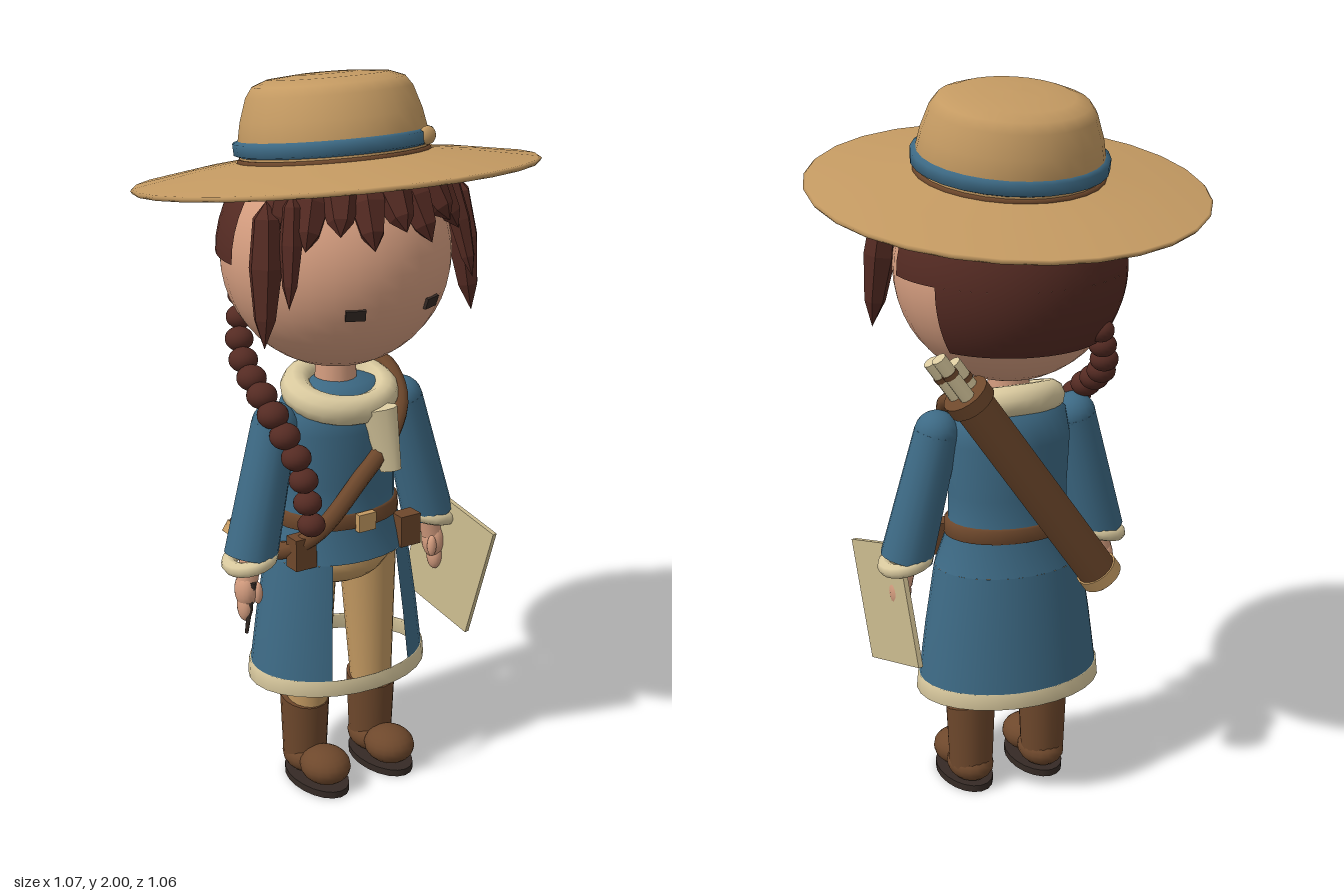
import * as THREE from 'three';

const mat = (name, color, side = THREE.FrontSide) => {
  const m = new THREE.MeshStandardMaterial({ color, side });
  m.name = name;
  return m;
};
const V = (x, y, z) => new THREE.Vector3(x, y, z);

export function createModel() {
  const root = new THREE.Group();
  root.name = 'traveller';
  const straw = mat('straw', 0xc49a62), blue = mat('blueCloth', 0x3d6a85),
    leather = mat('leather', 0x6e482c), hairM = mat('hair', 0x552b23),
    skin = mat('skin', 0xd69e80), cream = mat('creamFur', 0xdaca9f),
    paper = mat('paper', 0xcdbd90), dark = mat('dark', 0x352a25);

  const add = (name, geo, m, pos = [0, 0, 0], scale = [1, 1, 1], parent = root) => {
    const mesh = new THREE.Mesh(geo, m);
    mesh.name = name;
    mesh.position.set(...pos);
    mesh.scale.set(...scale);
    parent.add(mesh);
    return mesh;
  };
  const lathe = (pts, seg = 28, start = 0, len = Math.PI * 2) =>
    new THREE.LatheGeometry(pts.map(p => new THREE.Vector2(...p)), seg, start, len);
  const ball = (name, m, pos, scale, parent) =>
    add(name, new THREE.SphereGeometry(1, 18, 12), m, pos, scale, parent);
  // Tapered cylinder running from point a to point b
  const limb = (name, m, a, b, ra, rb, seg = 16) => {
    const d = b.clone().sub(a);
    const mesh = add(name, new THREE.CylinderGeometry(rb, ra, d.length(), seg), m);
    mesh.position.copy(a).addScaledVector(d, 0.5);
    mesh.quaternion.setFromUnitVectors(V(0, 1, 0), d.normalize());
    return mesh;
  };
  // Pointed lock of hair from a down to b
  const lock = (name, a, b, r) => {
    const d = b.clone().sub(a), L = d.length();
    const geo = lathe([[0, 0], [r * 0.8, L * 0.12], [r, L * 0.45], [r * 0.65, L * 0.8], [0, L]], 6)
      .toNonIndexed();
    geo.computeVertexNormals();
    const mesh = add(name, geo, hairM);
    mesh.position.copy(a);
    mesh.quaternion.setFromUnitVectors(V(0, 1, 0), d.normalize());
  };

  // Hat, tipped back
  const hat = new THREE.Group();
  hat.name = 'hat';
  hat.position.y = 1.733;
  hat.rotation.x = -0.146;
  root.add(hat);
  add('brim', lathe([[0.22, 0.03], [0.38, 0.013], [0.53, -0.008], [0.536, 0], [0.53, 0.005],
    [0.38, 0.03], [0.22, 0.05]]), straw, [0, 0, 0], [1, 1, 1], hat);
  add('crown', lathe([[0.246, 0.035], [0.248, 0.1], [0.238, 0.15], [0.218, 0.21], [0.2, 0.235],
    [0.16, 0.25], [0.08, 0.257], [0, 0.259]]), straw, [0, 0, 0], [1, 1, 1], hat);
  add('hatBand', lathe([[0.246, 0.06], [0.261, 0.066], [0.262, 0.096], [0.246, 0.102]]),
    blue, [0, 0, 0], [1, 1, 1], hat);
  const cord = add('hatCord', new THREE.TorusGeometry(0.245, 0.01, 6, 28), leather, [0, 0.046, 0], [1, 1, 1], hat);
  cord.rotation.x = Math.PI / 2;
  ball('hatButton', straw, [0.145, 0.085, 0.22], [0.024, 0.024, 0.014], hat);

  // Head, eyes, neck
  add('head', new THREE.SphereGeometry(0.308, 32, 24), skin, [0, 1.525, 0]);
  add('neck', new THREE.CylinderGeometry(0.055, 0.06, 0.15, 16), skin, [0, 1.18, 0]);
  for (const s of [-1, 1]) {
    const eye = add('eye', new THREE.BoxGeometry(0.052, 0.03, 0.008), dark, [s * 0.117, 1.43, 0.271]);
    eye.rotation.set(0.3, s * 0.4, 0, 'YXZ');
  }

  // Hair shells on the back of the head
  add('hairTop', new THREE.SphereGeometry(0.318, 24, 12, Math.PI, Math.PI, 0, Math.PI / 2), hairM, [0, 1.53, 0]);
  add('hairBack', new THREE.SphereGeometry(0.318, 18, 8, Math.PI * 7 / 6, Math.PI * 2 / 3,
    Math.PI / 2, Math.PI * 0.2), hairM, [0, 1.53, 0]);
  // Fringe and side locks
  for (let i = -4; i <= 4; i++) {
    const a = i * 0.27, drop = i % 2 ? 1.6 : 1.64;
    lock('fringe', V(Math.sin(a) * 0.21, 1.79, Math.cos(a) * 0.21),
      V(Math.sin(a) * 0.325, drop, Math.cos(a) * 0.325), 0.05);
  }
  for (const s of [-1, 1]) {
    lock('sideLock', V(s * 0.29, 1.72, 0.13), V(s * 0.325, 1.35, 0.17), 0.045);
    lock('templeLock', V(s * 0.24, 1.74, 0.17), V(s * 0.285, 1.46, 0.225), 0.03);
  }
  // Braid over the right shoulder
  const braid = new THREE.CatmullRomCurve3([V(-0.17, 1.38, -0.21), V(-0.225, 1.25, -0.12),
    V(-0.235, 1.13, 0.05), V(-0.2, 1.0, 0.13), V(-0.175, 0.83, 0.15)]);
  for (let i = 0; i < 12; i++) {
    const r = 0.043 - Math.abs(i - 6) * 0.001;
    ball('braidKnot', hairM, braid.getPointAt(i / 11).toArray(), [r, r * 0.85, r]);
  }

  // Coat body, open skirt and hem
  const flat = [1, 1, 0.76], at = [0, 0, 0.005];
  add('coatBody', lathe([[0.212, 0.69], [0.172, 0.8], [0.17, 0.9], [0.178, 1.05], [0.165, 1.12],
    [0.11, 1.17], [0.04, 1.18]]), blue, at, flat);
  add('coatSkirt', lathe([[0.262, 0.34], [0.24, 0.51], [0.212, 0.69]], 28, 0.51, Math.PI * 2 - 1.02),
    blue, at, flat);
  add('hem', lathe([[0.256, 0.36], [0.258, 0.317], [0.268, 0.317], [0.264, 0.362], [0.256, 0.36]]),
    cream, at, flat);
  add('coatTail', new THREE.BoxGeometry(0.08, 0.32, 0.008), blue, [0, 0.5, -0.09]);

  // Belt, buckle and pouches
  add('belt', lathe([[0.17, 0.777], [0.184, 0.782], [0.182, 0.82], [0.168, 0.824]]), leather, at, flat);
  add('buckle', new THREE.BoxGeometry(0.055, 0.05, 0.02), straw, [0, 0.8, 0.15]);
  add('leftPouch', new THREE.BoxGeometry(0.065, 0.09, 0.05), leather, [0.155, 0.735, 0.12]);
  add('rightPouch', new THREE.BoxGeometry(0.065, 0.09, 0.05), leather, [-0.175, 0.735, 0.1]);

  // Scarf collar with a hanging end
  const collar = add('collar', new THREE.TorusGeometry(0.126, 0.043, 10, 24), cream, [0, 1.145, 0.02], [1, 0.87, 1]);
  collar.rotation.x = Math.PI / 2 + 0.28;
  const tail = limb('collarEnd', cream, V(0.035, 1.12, 0.15), V(0.07, 0.94, 0.165), 0.055, 0.03, 12);
  tail.scale.z = 0.5;

  // Strap across the chest
  const strap = new THREE.CatmullRomCurve3([V(0.13, 1.18, -0.14), V(0.17, 1.18, -0.02), V(0.15, 1.11, 0.09),
    V(0.09, 1.03, 0.135), V(-0.02, 0.92, 0.145), V(-0.13, 0.8, 0.13), V(-0.19, 0.74, 0.08), V(-0.2, 0.7, -0.02)]);
  add('strap', new THREE.TubeGeometry(strap, 32, 0.025, 8), leather);

  // Scroll case on the back
  const q0 = V(-0.19, 0.68, -0.187), q1 = V(0.2, 1.24, -0.19);
  const along = (t, dx = 0, dz = 0) => q0.clone().lerp(q1, t).add(V(dx * 0.82, -dx * 0.57, dz));
  limb('scrollCase', leather, q0, q1, 0.055, 0.055, 20);
  limb('caseBottom', straw, along(-0.02), along(0.03), 0.06, 0.06, 20);
  limb('caseRim', leather, along(0.965), along(1.02), 0.065, 0.065, 20);
  [[-0.025, 0.015, 1.14], [0.02, 0.02, 1.2], [0.005, -0.025, 1.22]].forEach(([dx, dz, t]) => {
    limb('scroll', cream, along(0.95, dx, dz), along(t, dx, dz), 0.02, 0.02, 10);
    limb('scrollTie', leather, along(t - 0.09, dx, dz), along(t - 0.07, dx, dz), 0.022, 0.022, 10);
  });

  for (const s of [-1, 1]) {
    // Arms
    const sh = V(s * 0.205, 1.08, 0.015), wr = V(s * 0.293, 0.725, 0.03);
    limb('sleeve', blue, sh, wr, 0.062, 0.073, 18);
    ball('shoulder', blue, sh.toArray(), [0.062, 0.062, 0.062]);
    const cuff = add('cuff', new THREE.TorusGeometry(0.059, 0.021, 8, 20), cream, [s * 0.296, 0.718, 0.03]);
    cuff.rotation.set(Math.PI / 2, s * -0.24, 0);
    limb('wrist', skin, wr, V(s * 0.308, 0.65, 0.032), 0.03, 0.03, 12);
    ball('hand', skin, [s * 0.312, 0.63, 0.033], [0.03, 0.052, 0.036]);
    ball('fingers', skin, [s * 0.317, 0.585, 0.035], [0.02, 0.045, 0.027]);
    ball('thumb', skin, [s * 0.29, 0.625, 0.06], [0.013, 0.032, 0.014]);

    // Legs
    limb('trouserLeg', straw, V(s * 0.11, 0.2, 0.02), V(s * 0.1, 0.65, 0.01), 0.057, 0.082, 18);
    // Boots
    const shaft = limb('bootShaft', leather, V(s * 0.113, 0.06, 0.012), V(s * 0.113, 0.25, 0.012), 0.062, 0.07, 18);
    const p = shaft.geometry.attributes.position;
    for (let i = 0; i < p.count; i++) if (p.getY(i) > 0) p.setY(i, p.getY(i) - p.getZ(i) * 0.25);
    ball('bootToe', leather, [s * 0.11, 0.067, 0.115], [0.07, 0.052, 0.078]);
    ball('bootHeel', leather, [s * 0.112, 0.062, 0.02], [0.065, 0.05, 0.08]);
    add('sole', new THREE.CylinderGeometry(1, 1, 0.02, 20), dark, [s * 0.11, 0.01, 0.07], [0.073, 1, 0.127]);
  }
  ball('hips', straw, [0, 0.67, 0.015], [0.15, 0.085, 0.12]);

  // Pencil in the right hand
  limb('pencil', dark, V(-0.322, 0.51, 0.05), V(-0.305, 0.66, 0.06), 0.005, 0.01, 8);

  // Sketch board in the left hand
  const across = V(0.04, -0.075, 0.268).normalize();
  const up = V(0.02, 0.335, 0.085).normalize();
  const out = up.clone().cross(across).normalize();
  up.copy(across).cross(out);
  const board = add('sketchBoard', new THREE.BoxGeometry(0.014, 0.345, 0.275), paper, [0.337, 0.582, 0.075]);
  board.quaternion.setFromRotationMatrix(new THREE.Matrix4().makeBasis(out, up, across));

  return root;
}
